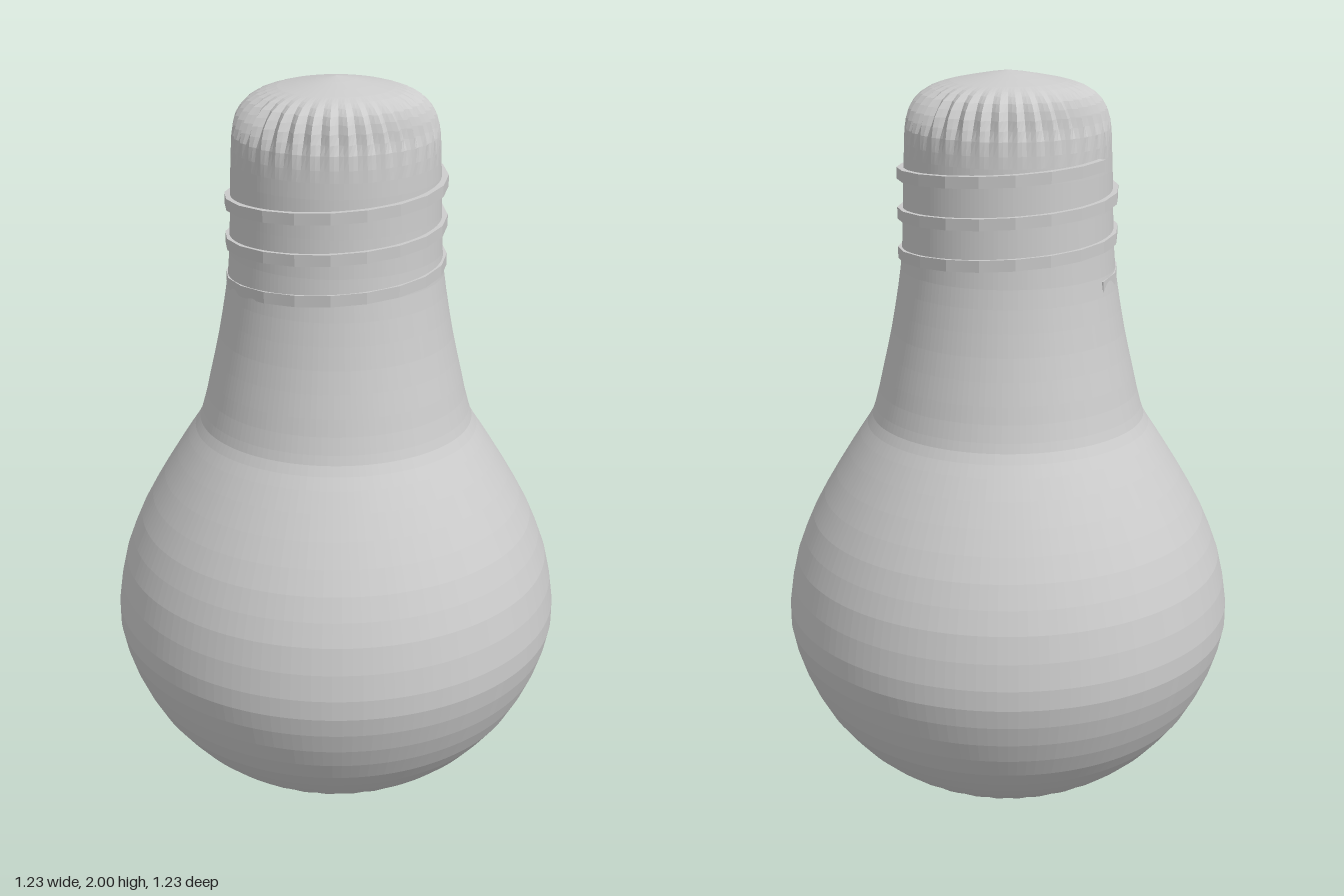
import * as THREE from 'three';

const SEG = 144, FLUTES = 36;
const material = new THREE.MeshStandardMaterial({ color: 0xcccccc, flatShading: true });

// Revolved skin from [radius, height, flute depth] rows, listed bottom to top
function revolve(name, rows) {
  const pos = [], index = [];
  rows.forEach(([r, y, depth = 0]) => {
    for (let i = 0; i < SEG; i++) {
      const a = (i / SEG) * Math.PI * 2;
      const rr = r - depth * (0.5 - 0.5 * Math.cos(a * FLUTES));
      pos.push(rr * Math.sin(a), y, rr * Math.cos(a));
    }
  });
  for (let j = 0; j < rows.length - 1; j++) {
    for (let i = 0; i < SEG; i++) {
      const a = j * SEG + i, b = j * SEG + ((i + 1) % SEG), c = a + SEG, d = b + SEG;
      if (rows[j][0] > 0) index.push(a, b, d);
      if (rows[j + 1][0] > 0) index.push(a, d, c);
    }
  }
  return makeMesh(name, pos, index);
}

function makeMesh(name, pos, index) {
  const geo = new THREE.BufferGeometry();
  geo.setAttribute('position', new THREE.Float32BufferAttribute(pos, 3));
  geo.setIndex(index);
  geo.computeVertexNormals();
  const mesh = new THREE.Mesh(geo, material);
  mesh.name = name;
  return mesh;
}

// Rectangular ridge climbing around the neck, starting at a given angle from the back
function screwThread(turns, start, y0, pitch, inner, outer, height) {
  const pos = [], index = [], perTurn = 20, n = turns * perTurn;
  for (let i = 0; i <= n; i++) {
    const t = start + (i / perTurn) * Math.PI * 2, y = y0 + (pitch * i) / perTurn;
    for (const [r, h] of [[inner, -1], [outer, -1], [outer, 1], [inner, 1]]) {
      pos.push(-r * Math.sin(t), y + (h * height) / 2, -r * Math.cos(t));
    }
  }
  for (let i = 0; i < n; i++) {
    for (let k = 0; k < 4; k++) {
      const a = i * 4 + k, b = i * 4 + ((k + 1) % 4);
      index.push(a, b + 4, b, a, a + 4, b + 4);
    }
  }
  const e = n * 4;
  index.push(0, 1, 2, 0, 2, 3, e, e + 2, e + 1, e, e + 3, e + 2);
  return makeMesh('screwThread', pos, index);
}

export function createModel() {
  const group = new THREE.Group();
  group.name = 'bulbBottle';

  // Rounded belly, with faint flutes around the base
  group.add(revolve('belly', [
    [0, 0.0], [0.12, 0.009], [0.21, 0.021, 0.001], [0.275, 0.036, 0.003],
    [0.325, 0.059, 0.005], [0.372, 0.09, 0.004], [0.412, 0.122], [0.45, 0.157],
    [0.487, 0.2], [0.525, 0.25], [0.558, 0.31], [0.584, 0.37], [0.603, 0.43],
    [0.614, 0.485], [0.614, 0.54], [0.604, 0.61], [0.588, 0.68], [0.566, 0.74],
    [0.54, 0.8], [0.508, 0.86], [0.473, 0.92], [0.436, 0.98], [0.404, 1.03],
    [0.384, 1.06], [0.37, 1.085],
  ]));

  // Tapered neck
  group.add(revolve('neck', [
    [0.37, 1.085], [0.362, 1.11], [0.35, 1.155], [0.34, 1.2], [0.326, 1.26],
    [0.313, 1.32], [0.302, 1.38], [0.292, 1.44], [0.285, 1.49], [0.28, 1.55],
    [0.276, 1.65], [0.273, 1.75], [0.271, 1.79],
  ]));

  // Fluted rim running into a low conical top
  group.add(revolve('cap', [
    [0.271, 1.79], [0.27, 1.82, 0.002], [0.268, 1.855, 0.006], [0.264, 1.88, 0.014],
    [0.257, 1.904, 0.018], [0.245, 1.924, 0.018], [0.228, 1.942, 0.014],
    [0.204, 1.957, 0.009], [0.18, 1.966, 0.004], [0.15, 1.974],
    [0.1, 1.984], [0.05, 1.993], [0, 2.0],
  ]));

  group.add(screwThread(3, 0.92, 1.465, 0.105, 0.255, 0.291, 0.03));
  return group;
}
